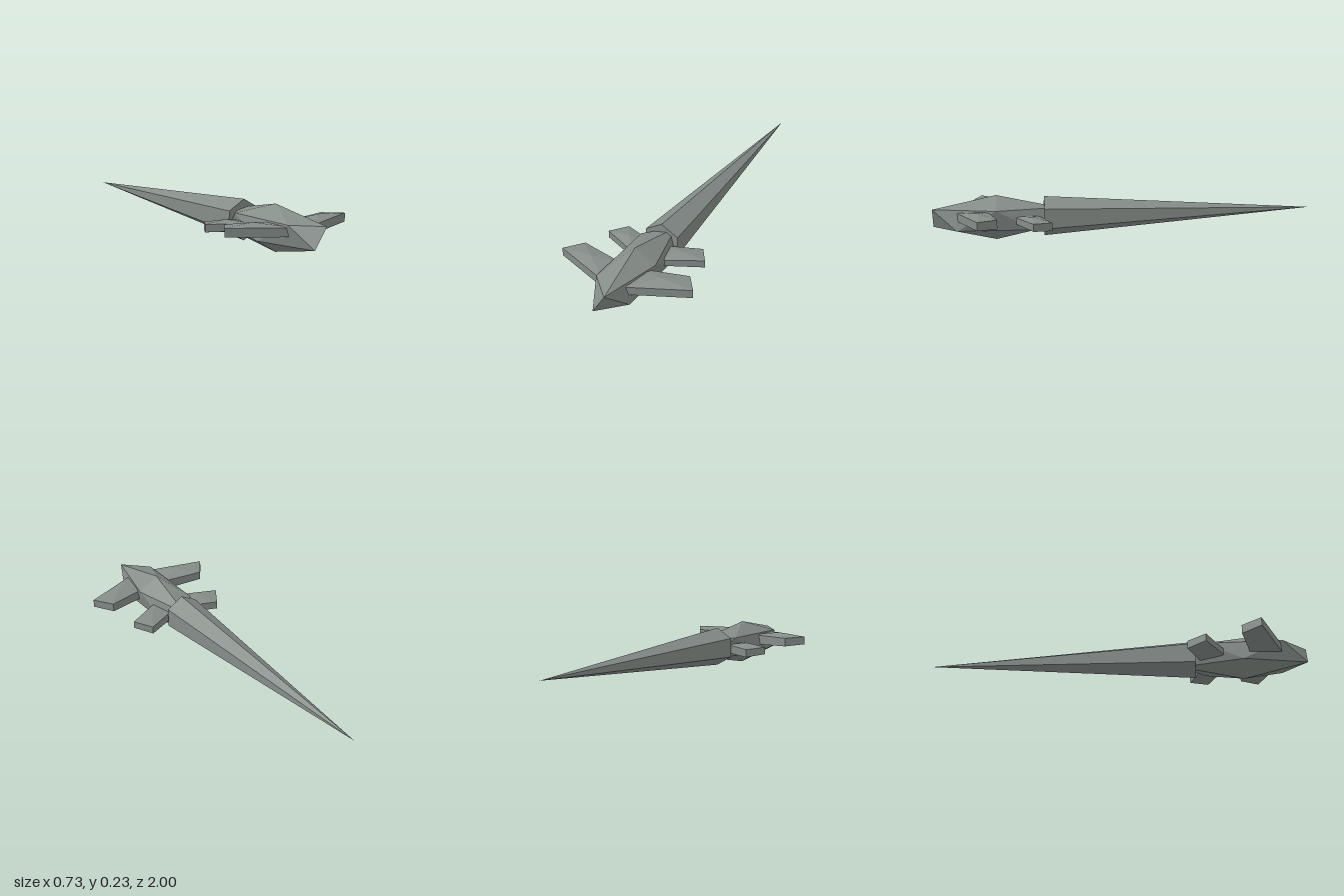
import * as THREE from 'three';
import { ConvexGeometry } from 'three/addons/geometries/ConvexGeometry.js';

const V = (x, y, z) => new THREE.Vector3(x, y, z);

export function createModel() {
  const group = new THREE.Group();
  const skin = new THREE.MeshStandardMaterial({ color: 0x858d89 });
  skin.name = 'greySkin';

  const add = (name, geometry) => {
    const mesh = new THREE.Mesh(geometry, skin);
    mesh.name = name;
    group.add(mesh);
  };

  // Body: stretched icosahedron, with poles up and down and two offset rings of five
  const cy = 0.1175, ry = 0.1175, rx = 0.125, rz = 0.388, cz = 0.67;
  const ringR = 0.8944, ringY = 0.4472;
  const body = [V(0, cy + ry, cz), V(0, cy - ry, cz)];
  for (let i = 0; i < 5; i++) {
    for (const [offset, side] of [[0, 1], [Math.PI / 5, -1]]) {
      const a = (i * 2 * Math.PI) / 5 + offset;
      body.push(V(rx * ringR * Math.cos(a), cy + side * ringY * ry, cz + rz * ringR * Math.sin(a)));
    }
  }
  add('body', new ConvexGeometry(body));

  // Tail: long six-sided cone whose tip rises slightly
  let tail = new THREE.ConeGeometry(0.105, 1.42, 6).rotateX(-Math.PI / 2).translate(0, 0.12, -0.29);
  const p = tail.attributes.position;
  for (let i = 0; i < p.count; i++) {
    p.setY(i, p.getY(i) + (0.02 * (0.42 - p.getZ(i))) / 1.42);
  }
  tail = tail.toNonIndexed();
  tail.computeVertexNormals();
  add('tail', tail);

  // Legs: flat tapered blocks with a low peak above and below; corners are [x, yLow, yHigh, z]
  const legs = {
    FrontLeg: [[0.365, 0.124, 0.167, 0.757], [0.295, 0.117, 0.163, 0.66],
      [0.05, 0.102, 0.156, 0.713], [0.05, 0.111, 0.154, 0.877], [0.2, 0.107, 0.178, 0.755]],
    RearLeg: [[0.277, 0.095, 0.134, 0.48], [0.216, 0.084, 0.126, 0.384],
      [0.05, 0.085, 0.13, 0.45], [0.06, 0.098, 0.13, 0.585], [0.155, 0.085, 0.147, 0.48]],
  };
  for (const [name, corners] of Object.entries(legs)) {
    for (const side of [1, -1]) {
      const points = corners.flatMap(([x, lo, hi, z]) => [V(side * x, lo, z), V(side * x, hi, z)]);
      add((side > 0 ? 'left' : 'right') + name, new ConvexGeometry(points));
    }
  }
  return group;
}
